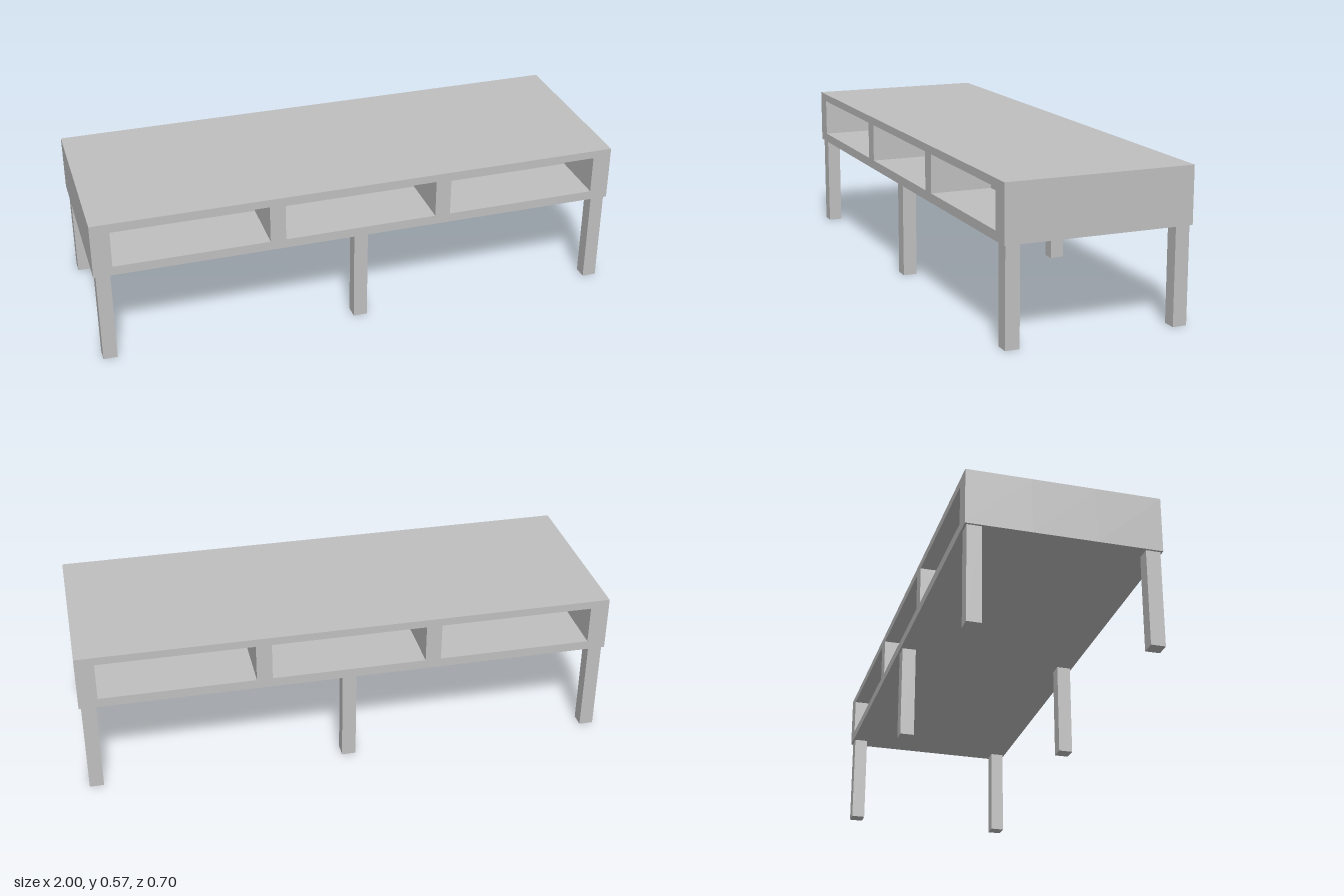
import * as THREE from 'three';

const WIDTH = 2, DEPTH = 0.702, BOTTOM = 0.36, TOP = 0.57;
const CUBBY = { width: 0.58, bottom: 0.395, top: 0.54, depth: 0.235, spacing: 0.639 };
const LEG = 0.053;

function rectangle(PathType, x0, x1, y0, y1) {
  const path = new PathType();
  path.moveTo(x0, y0);
  path.lineTo(x1, y0);
  path.lineTo(x1, y1);
  path.lineTo(x0, y1);
  path.closePath();
  return path;
}

export function createModel() {
  const model = new THREE.Group();
  model.name = 'lowConsoleTable';
  const grey = new THREE.MeshStandardMaterial({ color: 0xbfbfbf });
  grey.name = 'light grey';

  function add(name, geometry, x, y, z) {
    const mesh = new THREE.Mesh(geometry, grey);
    mesh.name = name;
    mesh.position.set(x, y, z);
    model.add(mesh);
  }

  // Solid core between the front and back cubbies
  const core = new THREE.BoxGeometry(WIDTH, TOP - BOTTOM, DEPTH - 2 * CUBBY.depth);
  add('cabinetCore', core, 0, (TOP + BOTTOM) / 2, 0);

  // Frames with three open cubbies, on the front and the back
  const outline = rectangle(THREE.Shape, -WIDTH / 2, WIDTH / 2, BOTTOM, TOP);
  for (const i of [-1, 0, 1]) {
    const x = i * CUBBY.spacing;
    outline.holes.push(rectangle(THREE.Path, x - CUBBY.width / 2, x + CUBBY.width / 2, CUBBY.bottom, CUBBY.top));
  }
  const frame = new THREE.ExtrudeGeometry(outline, { depth: CUBBY.depth, bevelEnabled: false });
  add('frontCubbyFrame', frame, 0, 0, DEPTH / 2 - CUBBY.depth);
  add('backCubbyFrame', frame, 0, 0, -DEPTH / 2);

  // Three pairs of square legs
  const leg = new THREE.BoxGeometry(LEG, BOTTOM, LEG);
  for (const [xName, x] of [['Right', -0.965], ['Middle', 0], ['Left', 0.965]]) {
    for (const [zName, z] of [['front', 0.317], ['back', -0.317]]) {
      add(`${zName}${xName}Leg`, leg, x, BOTTOM / 2, z);
    }
  }
  return model;
}
